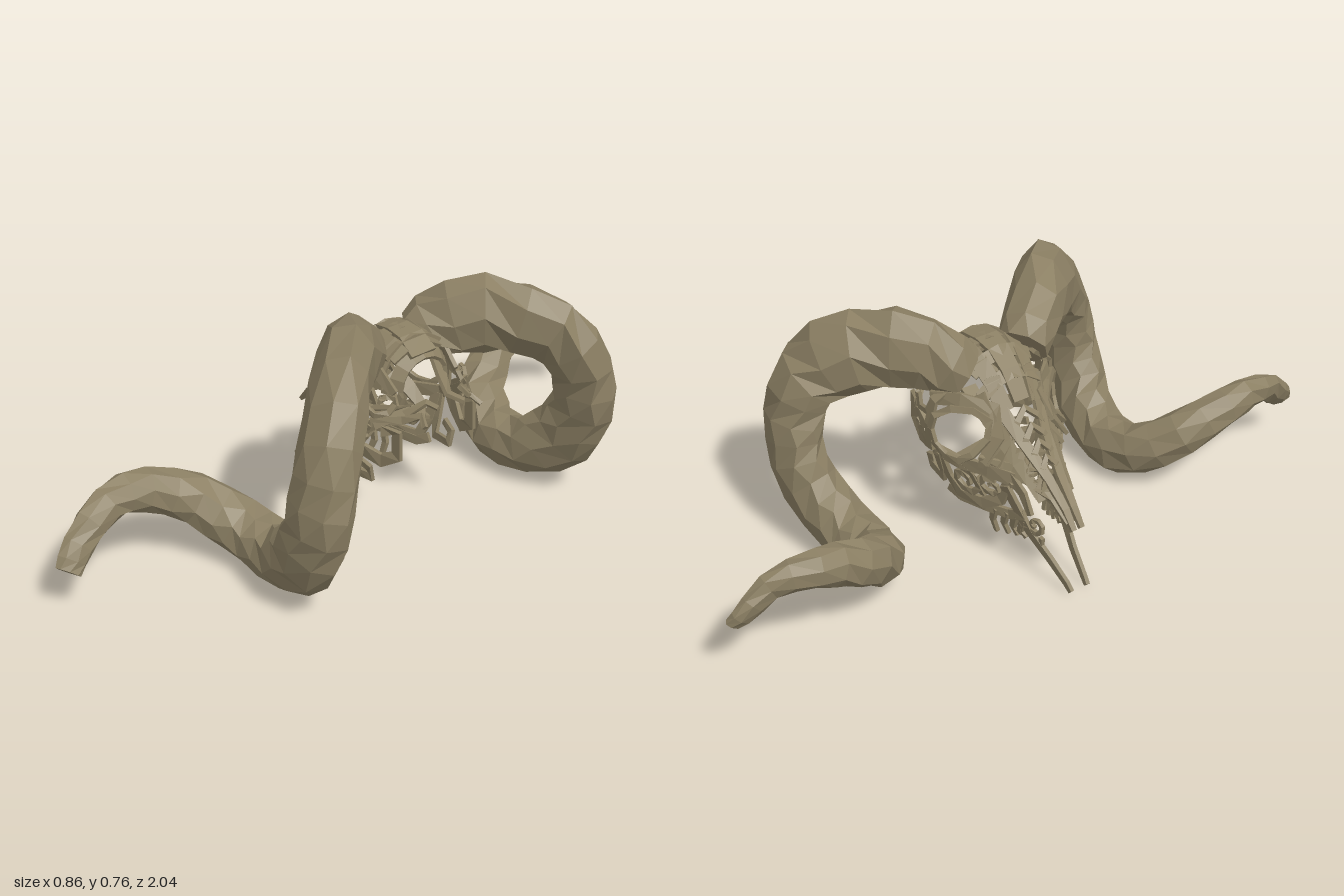
import * as THREE from 'three';
import { mergeGeometries } from 'three/addons/utils/BufferGeometryUtils.js';

const bone = new THREE.MeshStandardMaterial({ color: 0x8c8064, flatShading: true, roughness: 0.9 });
const V = (x, y, z) => new THREE.Vector3(x, y, z);
const clamp = THREE.MathUtils.clamp;

// piecewise linear lookup in [[x, value], ...]
function lookup(table, x) {
  for (let i = 1; i < table.length; i++) {
    const [x0, v0] = table[i - 1], [x1, v1] = table[i];
    if (x <= x1) return v0 + (v1 - v0) * clamp((x - x0) / (x1 - x0), 0, 1);
  }
  return table[table.length - 1][1];
}

// skull form: ridge height and half width along x (the snout points to -x)
const ridge = x => lookup([[-0.43, 0.2], [-0.39, 0.25], [-0.3, 0.335], [-0.2, 0.43], [-0.13, 0.51], [-0.07, 0.595], [0, 0.63], [0.1, 0.62], [0.2, 0.53], [0.28, 0.5]], x);
const halfWidth = x => lookup([[-0.43, 0.05], [-0.3, 0.08], [-0.2, 0.11], [-0.1, 0.17], [0, 0.2], [0.1, 0.185], [0.2, 0.14], [0.28, 0.165]], x);
const onSide = (x, y) => V(x, y, halfWidth(x) * Math.sqrt(clamp((ridge(x) - y) / 0.15, 0.02, 1)) * (0.55 + 0.45 * clamp((y - 0.05) / 0.3, 0, 1)));
const onRoof = (x, z) => V(x, ridge(x) - 0.15 * (z / halfWidth(x)) ** 2, z);
function skullNormal(p) {
  const k = Math.max(0, 0.12 - (ridge(p.x) - p.y));
  return V(p.x < -0.03 ? -k : 0, k, p.z + 1e-4).normalize();
}

// closed solid through a series of rings
function loft(rings) {
  const n = rings[0].length, last = (rings.length - 1) * n, index = [];
  for (let i = 0; i < rings.length - 1; i++)
    for (let j = 0; j < n; j++) {
      const a = i * n + j, b = i * n + (j + 1) % n;
      index.push(a, a + n, b, b, a + n, b + n);
    }
  for (let j = 1; j < n - 1; j++) index.push(0, j, j + 1, last, last + j + 1, last + j);
  const g = new THREE.BufferGeometry();
  g.setAttribute('position', new THREE.Float32BufferAttribute(rings.flat().flatMap(p => p.toArray()), 3));
  g.setIndex(index);
  g.computeVertexNormals();
  return g;
}

// flat bone strip along points, tapering from width w0 to w1
function strip(pts, w0, w1 = w0, normal = skullNormal) {
  return loft(pts.map((p, i) => {
    const t = pts[Math.min(i + 1, pts.length - 1)].clone().sub(pts[Math.max(i - 1, 0)]).normalize();
    const b = t.clone().cross(normal(p)).normalize();
    const n = b.clone().cross(t).multiplyScalar(0.006);
    b.multiplyScalar((w0 + (w1 - w0) * i / (pts.length - 1)) / 2);
    return [[1, 1], [-1, 1], [-1, -1], [1, -1]].map(([s, u]) => p.clone().addScaledVector(b, s).addScaledVector(n, u));
  }));
}

// angular spiral in side coordinates
function scroll(cx, cy, r, start, turns) {
  const steps = Math.round(Math.abs(turns) * 7);
  return Array.from({ length: steps + 1 }, (_, i) => {
    const a = start + turns * 2 * Math.PI * i / steps, q = r * (1 - 0.75 * i / steps);
    return [cx + q * Math.cos(a), cy + q * Math.sin(a)];
  });
}

function part(name, geometries) {
  const mesh = new THREE.Mesh(mergeGeometries(geometries), bone);
  mesh.name = name;
  return mesh;
}

// horn centre line: x, y, z, radius outward from the coil, radius across it
const hornPath = [
  [0.0, 0.565, 0.08, 0.078, 0.075], [0.045, 0.612, 0.145, 0.106, 0.085], [0.13, 0.637, 0.245, 0.124, 0.083],
  [0.235, 0.6, 0.36, 0.117, 0.08], [0.3, 0.51, 0.437, 0.11, 0.078], [0.318, 0.4, 0.478, 0.106, 0.076],
  [0.305, 0.3, 0.492, 0.107, 0.076], [0.255, 0.2, 0.49, 0.107, 0.076], [0.17, 0.122, 0.466, 0.1, 0.08],
  [0.07, 0.087, 0.45, 0.082, 0.083], [-0.04, 0.092, 0.452, 0.082, 0.083], [-0.13, 0.138, 0.495, 0.075, 0.08],
  [-0.192, 0.2, 0.575, 0.066, 0.072], [-0.22, 0.25, 0.68, 0.056, 0.062], [-0.222, 0.265, 0.78, 0.046, 0.056],
  [-0.196, 0.235, 0.88, 0.034, 0.05], [-0.174, 0.175, 0.955, 0.026, 0.045], [-0.158, 0.138, 0.988, 0.018, 0.038]
];

function horn(side) {
  let seed = side > 0 ? 7 : 23;
  const rand = () => (seed = (seed * 16807) % 2147483647) / 2147483647 - 0.5;
  // the right horn sits slightly further out and its tip higher
  const curve = new THREE.CatmullRomCurve3(hornPath.map(([x, y, z]) => side > 0 ? V(x, y, z)
    : V(x - (z > 0.9 ? 0.02 : 0), y + 0.045 * z * z - 0.012 * (y > 0.55), -(z * 0.955 + 0.045))));
  const rings = [], count = 26, sides = 8;
  for (let i = 0; i <= count; i++) {
    const u = i / count, p = curve.getPoint(u), t = curve.getTangent(u);
    const k = Math.min(u * (hornPath.length - 1), hornPath.length - 1.001), k0 = Math.floor(k);
    const radius = c => THREE.MathUtils.lerp(hornPath[k0][c], hornPath[k0 + 1][c], k - k0);
    const out = V(p.x - 0.1, p.y - 0.38, 0);
    out.addScaledVector(t, -out.dot(t)).normalize();
    const across = out.clone().cross(t);
    rings.push(Array.from({ length: sides }, (_, j) => {
      const a = 2 * Math.PI * (j + 0.3 * (i % 2)) / sides, f = 1.03 + 0.08 * rand();
      return p.clone().addScaledVector(out, radius(3) * f * Math.cos(a)).addScaledVector(across, radius(4) * f * Math.sin(a));
    }));
  }
  return part(side > 0 ? 'leftHorn' : 'rightHorn', [loft(rings)]);
}

// carved strips on each flank: [points, start width, end width]
const flank = {
  nasalBone: [
    [[[-0.41, 0.21], [-0.37, 0.26], [-0.3, 0.325], [-0.2, 0.41], [-0.13, 0.485], [-0.08, 0.565]], 0.016, 0.045],
    [[[-0.39, 0.225], [-0.33, 0.28], [-0.27, 0.305], [-0.21, 0.335], [-0.14, 0.35]], 0.014, 0.04],
    [[[-0.31, 0.285], [-0.3, 0.32]], 0.03], [[[-0.225, 0.33], [-0.21, 0.39]], 0.03], [[[-0.175, 0.34], [-0.165, 0.44]], 0.045],
    [scroll(-0.265, 0.325, 0.026, 0, 1.2), 0.013, 0.008]
  ],
  premaxilla: [
    [[[-0.425, 0.01], [-0.405, 0.03], [-0.34, 0.083], [-0.27, 0.145], [-0.24, 0.2], [-0.2, 0.28]], 0.016, 0.04],
    [scroll(-0.295, 0.18, 0.032, -0.8, -1.1), 0.015, 0.01], [[[-0.28, 0.21], [-0.25, 0.27], [-0.2, 0.32]], 0.02, 0.035],
    [[[-0.31, 0.11], [-0.315, 0.145]], 0.014], [[[-0.27, 0.17], [-0.24, 0.16], [-0.23, 0.12]], 0.018]
  ],
  toothRow: [
    [[[-0.26, 0.2], [-0.2, 0.175], [-0.13, 0.175], [-0.04, 0.17], [0.0, 0.19]], 0.03],
    ...[-0.25, -0.22, -0.19, -0.155].map((x, i) => [[[x, 0.18], [x + 0.015, 0.13], [x - 0.005 + 0.005 * i, 0.115 - 0.01 * i]], 0.026, 0.014])
  ],
  cheekbone: [
    [[[-0.22, 0.305], [-0.16, 0.325], [-0.08, 0.322], [0.0, 0.335], [0.06, 0.365], [0.13, 0.415], [0.2, 0.46]], 0.045, 0.028],
    [[[-0.21, 0.3], [-0.18, 0.22], [-0.12, 0.185], [-0.04, 0.185], [-0.015, 0.25], [-0.01, 0.33]], 0.035],
    [scroll(-0.08, 0.255, 0.055, 1.6, 1.4), 0.024, 0.016], [scroll(-0.16, 0.26, 0.038, 2, -1.2), 0.022, 0.012],
    [[[-0.13, 0.22], [-0.11, 0.3]], 0.025]
  ],
  eyeSocket: [
    [Array.from({ length: 11 }, (_, i) => [-0.072 + 0.072 * Math.cos(i * Math.PI / 5), 0.415 + 0.078 * Math.sin(i * Math.PI / 5)]), 0.02],
    [[[-0.155, 0.35], [-0.16, 0.42], [-0.125, 0.49], [-0.06, 0.515], [0.02, 0.5]], 0.04],
    [[[0.005, 0.34], [0.01, 0.42], [0.0, 0.5], [-0.03, 0.57]], 0.028]
  ],
  jawHinge: [
    [[[0.0, 0.33], [0.01, 0.26], [0.025, 0.21], [0.09, 0.215], [0.09, 0.25], [0.05, 0.265]], 0.034, 0.022],
    [[[0.04, 0.36], [0.08, 0.32], [0.14, 0.295], [0.19, 0.325], [0.19, 0.4], [0.15, 0.4]], 0.045, 0.035],
    [scroll(0.09, 0.375, 0.036, 0.6, 1), 0.03, 0.02]
  ],
  templeBone: [
    [[[0.01, 0.5], [0.04, 0.44], [0.09, 0.43], [0.1, 0.47]], 0.028, 0.014],
    [scroll(0.14, 0.475, 0.036, 3.5, 1), 0.02, 0.012],
    [[[0.0, 0.57], [0.08, 0.555], [0.15, 0.5]], 0.05, 0.025],
    [[[0.12, 0.42], [0.19, 0.435], [0.24, 0.46], [0.27, 0.44]], 0.028, 0.014], [[[0.19, 0.45], [0.23, 0.49], [0.27, 0.485]], 0.022, 0.012]
  ]
};

// strips lying on the roof and inside, symmetric about the middle
function middle() {
  const along = (s, x0, x1, w0, w1) => strip(Array.from({ length: 6 }, (_, i) => {
    const x = x0 + (x1 - x0) * i / 5;
    return onRoof(x, s * halfWidth(x));
  }), w0, w1);
  const chevrons = [-0.26, -0.225, -0.19, -0.155].map(x => {
    const h = halfWidth(x) * 0.5;
    return strip([-1, -0.5, 0, 0.5, 1].map(s => onRoof(x - 0.03 * Math.abs(s), s * h)), 0.018);
  });
  const crown = [-0.09, -0.04, 0.03, 0.08].map(x => strip([-0.1, -0.05, 0, 0.05, 0.1].map(z => onRoof(x, z)), 0.04));
  // arched ribs and two condyle bars closing the back of the braincase
  const ribs = [0.02, 0.075, 0.13].map((x, i) => strip(Array.from({ length: 9 }, (_, j) => {
    const a = -0.1 + (Math.PI + 0.2) * j / 8, r = 0.115 - 0.008 * i * i;
    return V(x, 0.5 + r * Math.sin(a), r * 1.1 * Math.cos(a));
  }), 0.042, 0.042, p => V(0.03 * i, p.y - 0.5, p.z).normalize()));
  const condyles = [1, -1].map(s => strip([V(0.1, 0.54, 0.08 * s), V(0.15, 0.5, 0.06 * s), V(0.19, 0.46, 0.05 * s), V(0.225, 0.44, 0.08 * s)],
    0.05, 0.02, () => V(0.4, 0.8, 0.4 * s).normalize()));
  const palate = [[-0.2, 0.29], [-0.12, 0.3], [-0.03, 0.32]].map(([x, y]) =>
    strip([-1, -0.5, 0, 0.5, 1].map(s => V(x + 0.03 * Math.abs(s), y - 0.05 * Math.abs(s), s * halfWidth(x) * 0.75)), 0.03, 0.03, () => V(0, 1, 0)));
  const keel = strip([V(-0.22, 0.29, 0), V(-0.1, 0.3, 0), V(0.04, 0.36, 0), V(0.12, 0.41, 0)], 0.03, 0.05, () => V(0, 1, 0));
  return [
    part('noseChevrons', chevrons),
    part('crown', [along(0, -0.14, 0.14, 0.05, 0.09), ...[1, -1].flatMap(s => [along(0.35 * s, -0.14, 0.12, 0.045, 0.055), along(0.62 * s, -0.31, -0.08, 0.025, 0.05)]), ...crown]),
    part('braincase', [...ribs, ...condyles]),
    part('palate', [...palate, keel])
  ];
}

export function createModel() {
  const model = new THREE.Group();
  model.name = 'hornedSkull';
  const skull = new THREE.Group();
  skull.name = 'skull';
  skull.position.z = -0.028; // the skull sits a little to the right of the horn tips' middle
  for (const side of [1, -1]) {
    const half = new THREE.Group();
    half.name = side > 0 ? 'leftFlank' : 'rightFlank';
    for (const [name, strips] of Object.entries(flank))
      half.add(part(name, strips.map(([pts, w0, w1]) => strip(pts.map(([x, y]) => {
        const p = onSide(x, y);
        if (name === 'eyeSocket') p.z += 0.014;
        p.z *= side;
        return p;
      }), w0, w1))));
    skull.add(half);
    model.add(horn(side));
  }
  skull.add(...middle());
  model.add(skull);
  return model;
}
